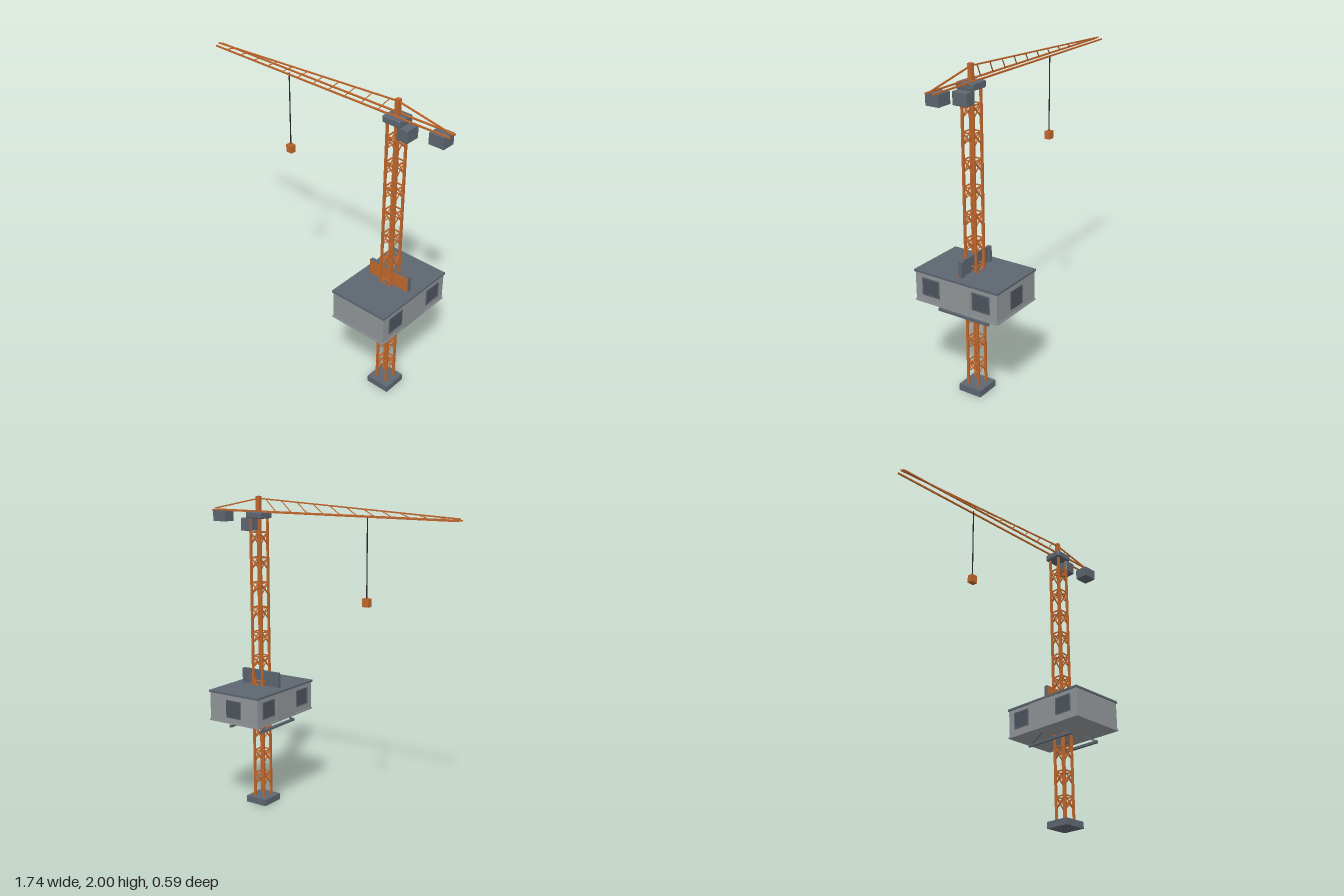
import * as THREE from 'three';
import { RoundedBoxGeometry } from 'three/addons/geometries/RoundedBoxGeometry.js';

const mat = (name, color) => {
  const m = new THREE.MeshStandardMaterial({ color });
  m.name = name;
  return m;
};

export function createModel() {
  const orange = mat('rusty orange', 0xc0672c);
  const slate = mat('slate grey', 0x5d656f);
  const concrete = mat('light grey', 0x909497);
  const glass = mat('dark window', 0x4c535c);
  const black = mat('cable black', 0x26282b);

  const model = new THREE.Group();
  model.name = 'towerCrane';
  const group = (name) => {
    const g = new THREE.Group();
    g.name = name;
    model.add(g);
    return g;
  };

  // Box given by its lower and upper corners
  const box = (parent, name, material, lo, hi, bevel = 0) => {
    const s = hi.map((v, i) => v - lo[i]);
    const geo = bevel ? new RoundedBoxGeometry(...s, 1, bevel) : new THREE.BoxGeometry(...s);
    const mesh = new THREE.Mesh(geo, material);
    mesh.position.set(...hi.map((v, i) => (v + lo[i]) / 2));
    mesh.name = name;
    parent.add(mesh);
    return mesh;
  };

  // Square bar between two points
  const bar = (parent, name, material, a, b, t) => {
    const from = new THREE.Vector3(...a), to = new THREE.Vector3(...b);
    const mesh = new THREE.Mesh(new THREE.BoxGeometry(t, t, from.distanceTo(to)), material);
    mesh.position.copy(from).lerp(to, 0.5);
    mesh.lookAt(to);
    mesh.name = name;
    parent.add(mesh);
    return mesh;
  };

  const cx = 0.512; // mast axis
  const r = 0.037;  // mast half width

  // Footing
  box(model, 'footing', slate, [cx - 0.078, 0, -0.078], [cx + 0.078, 0.042, 0.078]);

  // Lattice mast
  const mast = group('mast');
  for (const sx of [-1, 1]) for (const sz of [-1, 1])
    bar(mast, 'mastLeg', orange, [cx + sx * r, 0.04, sz * r], [cx + sx * r, 1.87, sz * r], 0.013);
  for (let k = 0; k < 11; k++) {
    const top = 0.198 + 0.158 * k, low = top - 0.076;
    for (let side = 0; side < 4; side++) {
      const p = (u, y) => {
        const a = side * Math.PI / 2;
        return [cx + r * (Math.cos(a) - u * Math.sin(a)), y, r * (Math.sin(a) + u * Math.cos(a))];
      };
      bar(mast, 'mastRail', orange, p(-1, top), p(1, top), 0.007);
      bar(mast, 'mastBrace', orange, p(-1, low), p(1, top), 0.006);
      bar(mast, 'mastBrace', orange, p(1, low), p(-1, top), 0.006);
    }
  }

  // Slewing platform, cab and apex post
  box(model, 'slewPlatform', slate, [cx - 0.06, 1.863, -0.058], [cx + 0.06, 1.905, 0.058], 0.008);
  box(model, 'operatorCab', slate, [0.546, 1.785, -0.048], [0.62, 1.864, 0.048], 0.005);
  box(model, 'apexPost', orange, [cx - 0.013, 1.9, -0.013], [cx + 0.013, 2, 0.013]);

  // Jib: two lower chords, a top chord and slanted braces
  const jib = group('jib');
  for (const z of [-0.024, 0.024])
    bar(jib, 'lowerChord', orange, [-0.87, 1.905, z], [0.867, 1.905, z], 0.009);
  bar(jib, 'topChord', orange, [-0.87, 1.915, 0], [cx, 1.985, 0], 0.008);
  bar(jib, 'rearTie', orange, [cx, 1.985, 0], [0.867, 1.913, 0], 0.008);
  for (let k = 0; k < 11; k++) {
    const x = -0.785 + 0.118 * k, xe = x + 0.06;
    bar(jib, 'jibBrace', orange, [x, 1.905, 0.022], [xe, 1.915 + 0.07 * (xe + 0.87) / 1.382, 0], 0.005);
  }
  box(model, 'counterweight', slate, [0.75, 1.835, -0.043], [0.847, 1.903, 0.043]);

  // Hoist
  bar(model, 'hoistCable', black, [-0.28, 1.42, 0], [-0.28, 1.9, 0], 0.005);
  box(model, 'hookBlock', orange, [-0.302, 1.38, -0.018], [-0.258, 1.43, 0.018]);

  // Cabin around the mast
  const cabin = group('cabin');
  const x0 = 0.322, x1 = 0.7, zw = 0.287;
  box(cabin, 'cabinWalls', concrete, [x0, 0.602, -zw], [x1, 0.785, zw]);
  box(cabin, 'cabinFloor', concrete, [x0 - 0.004, 0.598, -zw - 0.004], [x1 + 0.004, 0.608, zw + 0.004]);
  box(cabin, 'cabinRoof', slate, [x0 - 0.007, 0.783, -zw - 0.006], [x1 + 0.006, 0.796, zw + 0.006]);

  // Long sides: proud middle panel and two framed windows each
  for (const x of [x0, x1]) {
    box(cabin, 'middlePanel', concrete, [x - 0.004, 0.604, -0.098], [x + 0.004, 0.784, 0.098]);
    for (const s of [-1, 1]) {
      const z = s * 0.176;
      box(cabin, 'windowPane', glass, [x - 0.003, 0.65, z - 0.058], [x + 0.003, 0.755, z + 0.058]);
      for (const e of [-1, 1]) {
        const ze = z + e * 0.058, ye = 0.7025 + e * 0.0525;
        box(cabin, 'windowJamb', slate, [x - 0.005, 0.648, ze - 0.003], [x + 0.005, 0.757, ze + 0.003]);
        box(cabin, 'windowSill', slate, [x - 0.005, ye - 0.003, z - 0.058], [x + 0.005, ye + 0.003, z + 0.058]);
      }
    }
  }
  // Rear hatch
  box(cabin, 'rearHatch', glass, [cx - 0.056, 0.638, -zw - 0.005], [cx + 0.056, 0.75, -zw + 0.002]);

  // Roof board with orange face and rear posts
  const board = group('roofBoard');
  box(board, 'boardBack', slate, [0.366, 0.794, -0.006], [0.655, 0.893, 0.008]);
  box(board, 'boardFace', orange, [0.37, 0.797, 0.007], [0.651, 0.889, 0.012]);
  for (const x of [0.378, 0.643])
    box(board, 'boardPost', slate, [x - 0.012, 0.794, -0.016], [x + 0.012, 0.893, -0.005]);

  // Hanging trusses below the cabin
  const under = group('underTruss');
  for (const x of [0.39, 0.632]) {
    bar(under, 'trussBar', slate, [x, 0.539, -0.178], [x, 0.539, 0.178], 0.016);
    for (const s of [-1, 1])
      bar(under, 'trussStrut', slate, [x, 0.542, s * 0.172], [x, 0.602, s * 0.072], 0.01);
  }

  return model;
}
